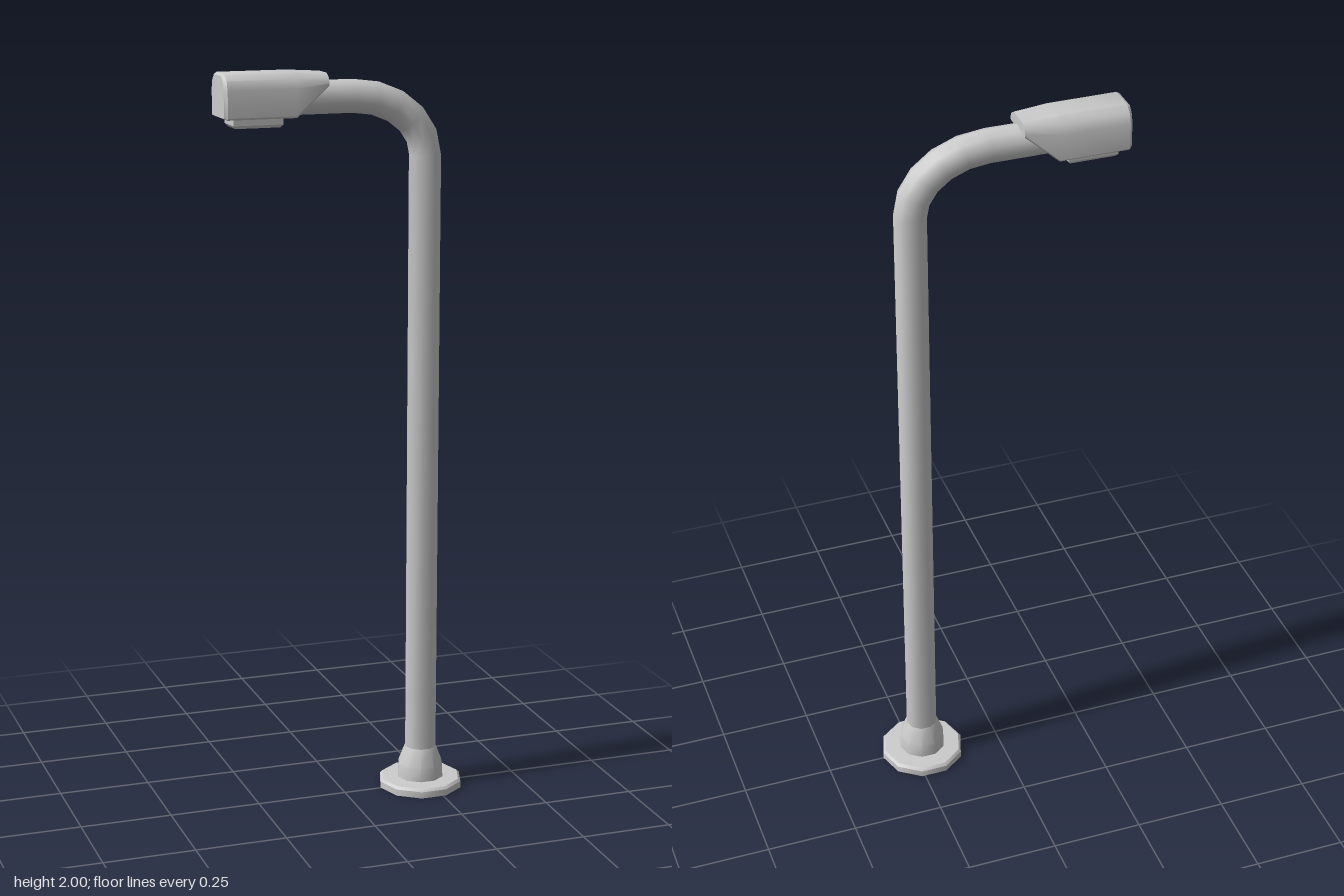
import * as THREE from 'three';
import { toCreasedNormals } from 'three/addons/utils/BufferGeometryUtils.js';

const POLE_X = 0.223;
const SIDES = 10;

// Skin a list of rings, each counter-clockwise about the direction of travel
function loft(rings, capped, crease) {
  const n = rings[0].length;
  const index = [];
  for (let i = 0; i < rings.length - 1; i++) {
    for (let j = 0; j < n; j++) {
      const k = (j + 1) % n;
      const a = i * n + j, b = i * n + k, c = b + n, d = a + n;
      index.push(a, b, c, a, c, d);
    }
  }
  if (capped) {
    const e = (rings.length - 1) * n;
    for (let j = 1; j < n - 1; j++) index.push(0, j + 1, j, e, e + j, e + j + 1);
  }
  const geo = new THREE.BufferGeometry();
  geo.setAttribute('position', new THREE.Float32BufferAttribute(rings.flat(2), 3));
  geo.setIndex(index);
  return toCreasedNormals(geo, crease);
}

// Ten-sided ring; tilt 0 faces up, tilt 90 degrees faces -x
function roundRing(x, y, r, tilt = 0) {
  return Array.from({ length: SIDES }, (_, j) => {
    const t = (j / SIDES) * Math.PI * 2;
    const u = r * Math.cos(t);
    return [x + u * Math.cos(tilt), y + u * Math.sin(tilt), -r * Math.sin(t)];
  });
}

// Head section: half outline (z, y) from the top, mirrored across z
function headRing(x, half) {
  const all = [...half, ...[...half].reverse().map(([z, y]) => [-z, y])];
  return all.map(([z, y]) => [x, y, z]);
}

// Rectangular ring facing up
function boxRing(cx, y, w, d) {
  return [[1, 1], [1, -1], [-1, -1], [-1, 1]].map(([sx, sz]) => [cx + sx * w, y, sz * d]);
}

export function createModel() {
  const model = new THREE.Group();
  const grey = new THREE.MeshStandardMaterial({ color: 0xcccccc });
  const open = new THREE.MeshStandardMaterial({ color: 0xcccccc, side: THREE.DoubleSide });
  const add = (name, geo, mat) => {
    const mesh = new THREE.Mesh(geo, mat);
    mesh.name = name;
    model.add(mesh);
  };

  // Hollow foot flange with tapered collar
  const profile = [[0.117, 0], [0.117, 0.018], [0.11, 0.025], [0.065, 0.027], [0.063, 0.065], [0.044, 0.115]];
  add('baseFlange', loft(profile.map(([r, y]) => roundRing(POLE_X, y, r)), false, 0.65), open);

  // Upright pole sweeping over into the horizontal arm
  const rings = [roundRing(POLE_X, 0.112, 0.044)];
  const steps = 5, rx = 0.203, ry = 0.16, bendY = 1.77;
  for (let i = 0; i <= steps; i++) {
    const a = (i / steps) * Math.PI / 2;
    const x = POLE_X - rx + rx * Math.cos(a);
    const tilt = Math.atan2(rx * Math.sin(a), ry * Math.cos(a));
    rings.push(roundRing(x, bendY + ry * Math.sin(a), 0.044, tilt));
  }
  rings.push(roundRing(-0.17, bendY + ry, 0.044, Math.PI / 2));
  add('poleAndArm', loft(rings, false, 0.75), open);

  // Lamp head: bevelled end, straight body, wedge over the arm
  const body = [[0.036, 2.0], [0.055, 1.984], [0.064, 1.96], [0.064, 1.89], [0.059, 1.885]];
  const end = [[0.033, 1.995], [0.048, 1.98], [0.055, 1.957], [0.055, 1.893], [0.052, 1.889]];
  const nose = [[0.03, 1.995], [0.046, 1.985], [0.053, 1.972], [0.053, 1.967], [0.05, 1.963]];
  add('lampHead', loft([
    headRing(-0.343, end),
    headRing(-0.335, body),
    headRing(-0.15, body),
    headRing(-0.06, nose),
  ], true, 0.7), grey);

  // Lens panel under the head
  add('lens', loft([
    boxRing(-0.247, 1.86, 0.06, 0.034),
    boxRing(-0.247, 1.868, 0.067, 0.041),
    boxRing(-0.247, 1.89, 0.067, 0.041),
  ], true, 0.5), grey);

  return model;
}
